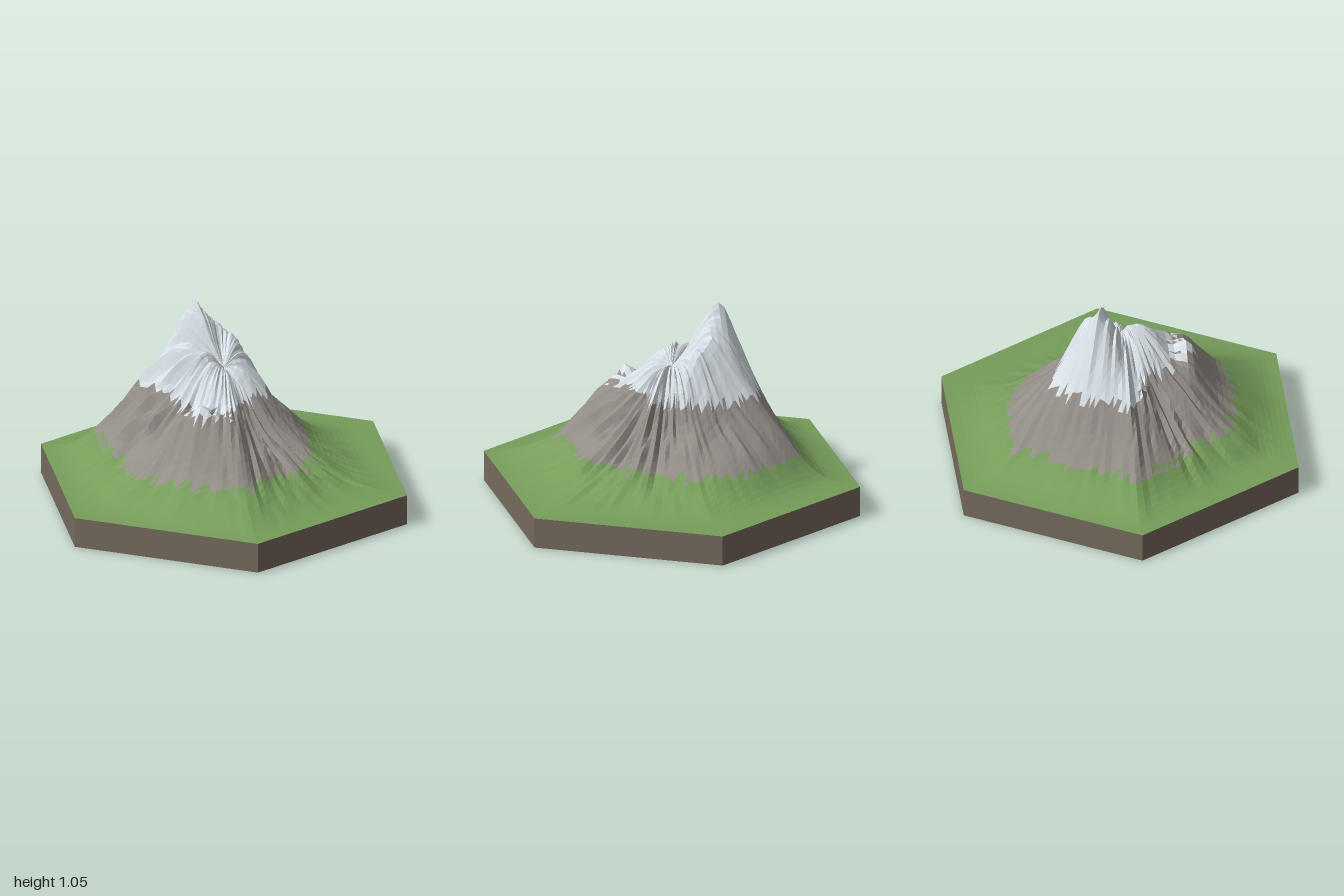
import * as THREE from 'three';

const BASE = 0.16; // top of the slab
const RINGS = 28, PER = 10, COLS = 12 * PER;

// Slope profiles from the centre out to the rim (steps of 0.1), one every 30 degrees from +x towards +z
const slopes = [
  [0.68, 0.57, 0.47, 0.40, 0.34, 0.28, 0.23, 0.19, 0.17],
  [0.74, 0.66, 0.60, 0.54, 0.43, 0.31, 0.25, 0.20, 0.17],
  [0.77, 0.72, 0.61, 0.64, 0.50, 0.37, 0.29, 0.23, 0.18],
  [0.80, 0.72, 0.58, 0.49, 0.38, 0.30, 0.24, 0.18, 0.165],
  [0.82, 0.72, 0.59, 0.49, 0.41, 0.33, 0.27, 0.21, 0.17],
  [0.79, 0.82, 0.76, 0.66, 0.54, 0.41, 0.29, 0.21, 0.17],
  [0.83, 0.97, 1.04, 0.85, 0.64, 0.45, 0.31, 0.22, 0.18],
  [0.80, 0.90, 0.80, 0.66, 0.53, 0.41, 0.28, 0.20, 0.17],
  [0.80, 0.83, 0.67, 0.50, 0.43, 0.36, 0.27, 0.20, 0.17],
  [0.75, 0.68, 0.49, 0.42, 0.32, 0.24, 0.19, 0.165, 0.16],
  [0.74, 0.66, 0.50, 0.38, 0.30, 0.24, 0.20, 0.17, 0.16],
  [0.72, 0.58, 0.45, 0.36, 0.29, 0.24, 0.20, 0.18, 0.165],
].map(s => [0.73, ...s, BASE]);
// How craggy each direction is
const crags = [1, 0.4, 0.2, 0.7, 1, 0.7, 0.25, 0.3, 0.3, 0.5, 1, 1];

const lerp = THREE.MathUtils.lerp;
const rand = (a, b) => {
  const s = Math.sin(a * 127.1 + b * 311.7) * 43758.5453;
  return s - Math.floor(s);
};

function profile(s, t) {
  const f = Math.min(t * 10, 9.9999), i = Math.floor(f), u = f - i;
  const a = s[Math.max(i - 1, 0)], b = s[i], c = s[i + 1], d = s[Math.min(i + 2, 10)];
  return b + 0.5 * u * (c - a + u * (2 * a - 5 * b + 4 * c - d + u * (3 * (b - c) + d - a)));
}

// Point of the terrain on hexagonal ring i, column j
function point(i, j) {
  j %= COLS;
  const t = i / RINGS, k = Math.floor(j / PER), u = (j % PER) / PER, n = (k + 1) % 12;
  const rim = m => {
    const r = m % 2 ? 1 : Math.sqrt(0.75);
    return [r * Math.cos(m * Math.PI / 6), r * Math.sin(m * Math.PI / 6)];
  };
  const [ax, az] = rim(k), [bx, bz] = rim(n);
  let h = lerp(profile(slopes[k], t), profile(slopes[n], t), u);
  // Radial ribs, strongest halfway up the slopes
  const q = t * 7, band = Math.floor(q);
  const rib = lerp(rand(j, band), rand(j, band + 1), q - band) - 0.5;
  const fade = Math.min(1, t * 4) * Math.min(1, (h - BASE) * 4);
  h += rib * 0.085 * fade * lerp(crags[k], crags[n], u);
  return [t * lerp(ax, bx, u), Math.max(h, BASE), t * lerp(az, bz, u)];
}

export function createModel() {
  const group = new THREE.Group();
  const material = (name, color) => {
    const m = new THREE.MeshStandardMaterial({ color });
    m.name = name;
    return m;
  };
  const earth = material('earth', 0x766b5e);
  const mats = {
    grass: material('grass', 0x769d5a),
    rock: material('rock', 0x948e88),
    snow: material('snow', 0xdbe4ea),
  };
  const add = (name, geometry, mat) => {
    const mesh = new THREE.Mesh(geometry, mat);
    mesh.name = name;
    group.add(mesh);
    return mesh;
  };

  // Hexagonal slab
  const side = new THREE.CylinderGeometry(1, 1, BASE, 6, 1, true).toNonIndexed();
  side.computeVertexNormals();
  add('slabSides', side, earth).position.y = BASE / 2;
  add('slabUnderside', new THREE.CircleGeometry(1, 6, Math.PI / 6).rotateX(Math.PI / 2), earth);

  // Faceted terrain, each face sorted into grass, rock or snow by its height
  const faces = { grass: [], rock: [], snow: [] };
  const face = (a, b, c, seed) => {
    const y = (a[1] + b[1] + c[1]) / 3 + (rand(seed, 5) - 0.5) * 0.04;
    const kind = y > 0.595 ? 'snow' : y > 0.295 ? 'rock' : 'grass';
    faces[kind].push(...a, ...b, ...c);
  };
  for (let i = 0; i < RINGS; i++) {
    for (let j = 0; j < COLS; j++) {
      const a = point(i, j), b = point(i + 1, j), c = point(i + 1, j + 1), d = point(i, j + 1);
      face(a, c, b, j);
      if (i > 0) face(a, d, c, j + 0.5);
    }
  }
  const names = { grass: 'grassSlopes', rock: 'rockSlopes', snow: 'snowCaps' };
  for (const kind in faces) {
    const g = new THREE.BufferGeometry();
    g.setAttribute('position', new THREE.Float32BufferAttribute(faces[kind], 3));
    g.computeVertexNormals();
    add(names[kind], g, mats[kind]);
  }
  return group;
}
